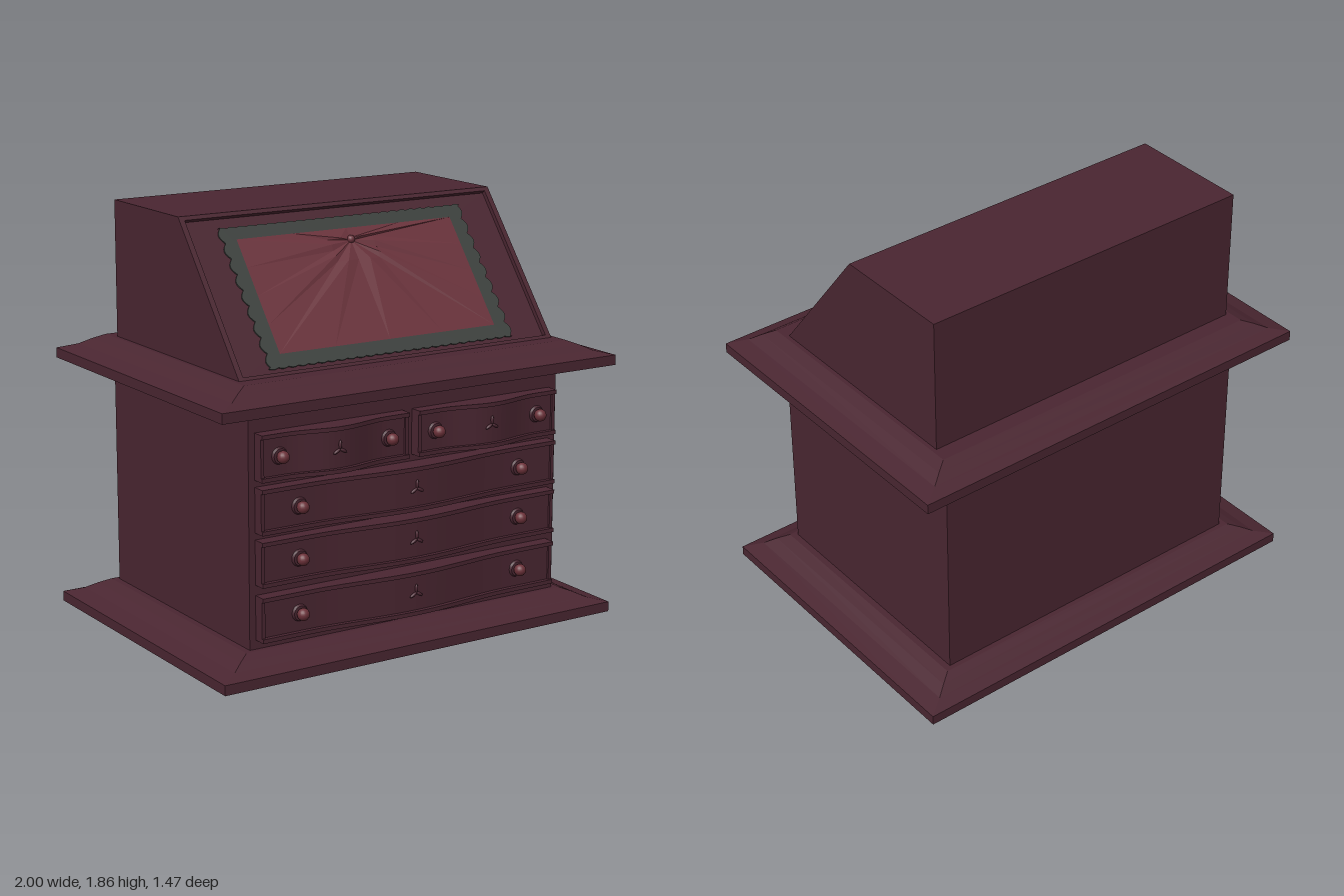
import * as THREE from 'three';

const mat = (name, color) => {
  const m = new THREE.MeshStandardMaterial({ color });
  m.name = name;
  return m;
};

function add(parent, name, geometry, material, x = 0, y = 0, z = 0) {
  const mesh = new THREE.Mesh(geometry, material);
  mesh.name = name;
  mesh.position.set(x, y, z);
  parent.add(mesh);
  return mesh;
}

// Rectangular moulded slab: a four-sided lathe with mitred corners
function slabGeometry() {
  const profile = [[0, 0], [1, 0], [1, 0.045], [0.92, 0.065], [0.87, 0.09], [0.82, 0.11], [0, 0.11]];
  const points = profile.map(([r, y]) => new THREE.Vector2(r * Math.SQRT2, y));
  const geo = new THREE.LatheGeometry(points, 4, Math.PI / 4).toNonIndexed();
  geo.scale(1, 1, 0.735);
  geo.computeVertexNormals();
  return geo;
}

// Side profile given as [z, y], extruded across x from x0 to x1
function sideExtrude(profile, x0, x1) {
  const shape = new THREE.Shape(profile.map(([z, y]) => new THREE.Vector2(z, y)));
  const geo = new THREE.ExtrudeGeometry(shape, { depth: x1 - x0, bevelEnabled: false });
  geo.rotateY(-Math.PI / 2);
  geo.translate(x1, 0, 0);
  return geo;
}

// Depth of a drawer front: low at the ends, bulging in the middle
function frontZ(t) {
  const a = Math.min(Math.abs(t) / 0.7, 1);
  return 0.62 + 0.04 * (0.5 + 0.5 * Math.cos(Math.PI * a));
}

// Bow-fronted plank of width w and height h, standing on y = 0
function bowGeometry(w, h, proud) {
  const points = [new THREE.Vector2(-w / 2, -0.57)];
  const steps = 28;
  for (let i = 0; i <= steps; i++) {
    const t = (2 * i) / steps - 1;
    points.push(new THREE.Vector2((t * w) / 2, -frontZ(t) - proud));
  }
  points.push(new THREE.Vector2(w / 2, -0.57));
  const geo = new THREE.ExtrudeGeometry(new THREE.Shape(points), { depth: h, bevelEnabled: false });
  geo.rotateX(-Math.PI / 2);
  return geo;
}

function makeDrawer(x, y, w, h, knobX, wood, knobMat) {
  const drawer = new THREE.Group();
  drawer.name = 'drawer';
  drawer.position.set(x, y, 0);
  add(drawer, 'drawerFront', bowGeometry(w, h, 0), wood);
  for (const ly of [0, h - 0.018]) add(drawer, 'drawerLip', bowGeometry(w, 0.018, 0.02), wood, 0, ly, 0);
  for (const s of [-1, 1]) {
    add(drawer, 'drawerEndLip', new THREE.BoxGeometry(0.016, h, 0.012), wood, s * (w / 2 - 0.008), h / 2, 0.624);
    const plate = add(drawer, 'knobPlate', new THREE.CylinderGeometry(0.032, 0.038, 0.012, 20), wood, s * knobX, h / 2, 0.625);
    plate.rotation.x = Math.PI / 2;
    add(drawer, 'knob', new THREE.SphereGeometry(0.027, 18, 12), knobMat, s * knobX, h / 2, 0.65);
  }
  // Small three-petalled keyhole ornament
  for (let i = 0; i < 3; i++) {
    const a = Math.PI / 2 + (i * Math.PI * 2) / 3;
    const petal = add(drawer, 'keyholePetal', new THREE.SphereGeometry(0.02, 10, 8), wood,
      Math.cos(a) * 0.018, h / 2 + Math.sin(a) * 0.018, 0.662);
    petal.scale.set(1, 0.35, 0.4);
    petal.rotation.z = a;
  }
  return drawer;
}

// Cloth border with scalloped ends and finely notched long edges
function laceGeometry(x0, x1, y0, y1) {
  const pts = [];
  const edge = (ax, ay, bx, by, lobes, depth) => {
    const len = Math.hypot(bx - ax, by - ay);
    const nx = (by - ay) / len, ny = -(bx - ax) / len;
    for (let i = 0; i < lobes * 6; i++) {
      const t = i / (lobes * 6);
      const d = depth * (Math.abs(Math.sin(t * lobes * Math.PI)) - 1);
      pts.push(new THREE.Vector2(ax + (bx - ax) * t + nx * d, ay + (by - ay) * t + ny * d));
    }
  };
  edge(x0, y0, x1, y0, 26, 0.006);
  edge(x1, y0, x1, y1, 9, 0.02);
  edge(x1, y1, x0, y1, 26, 0.006);
  edge(x0, y1, x0, y0, 9, 0.02);
  return new THREE.ExtrudeGeometry(new THREE.Shape(pts), { depth: 0.006, bevelEnabled: false });
}

// Cloth panel gathered into pleats around the point (cx, cy)
function clothGeometry(x0, x1, y0, y1, cx, cy) {
  const corners = [[x0, y0], [x1, y0], [x1, y1], [x0, y1]];
  const pos = [], index = [];
  const n = 16;
  for (let i = 0; i < n; i++) {
    const [ax, ay] = corners[Math.floor(i / 4)];
    const [bx, by] = corners[(Math.floor(i / 4) + 1) % 4];
    const t = (i % 4) / 4;
    const px = ax + (bx - ax) * t, py = ay + (by - ay) * t;
    pos.push(px, py, 0);
    pos.push(cx + (px - cx) * 0.2, cy + (py - cy) * 0.2, i % 2 ? 0.01 : 0.002);
    const j = (i + 1) % n;
    index.push(2 * i, 2 * j, 2 * j + 1, 2 * i, 2 * j + 1, 2 * i + 1, 2 * i + 1, 2 * j + 1, 2 * n);
  }
  pos.push(cx, cy, 0.001);
  const geo = new THREE.BufferGeometry();
  geo.setAttribute('position', new THREE.Float32BufferAttribute(pos, 3));
  geo.setIndex(index);
  const flat = geo.toNonIndexed();
  flat.computeVertexNormals();
  return flat;
}

export function createModel() {
  const model = new THREE.Group();
  model.name = 'writingDesk';
  const wood = mat('darkMahogany', 0x4a2631);
  const knobMat = mat('redKnob', 0x6a3038);
  const cloth = mat('redCloth', 0x6a333c);
  const lace = mat('greyGreenBorder', 0x3d413e);

  // Carcass and mouldings
  add(model, 'plinth', slabGeometry(), wood);
  add(model, 'cornice', slabGeometry(), wood, 0, 1.14, 0);
  add(model, 'body', new THREE.BoxGeometry(1.58, 1.03, 1.16), wood, 0, 0.625, 0);

  // Drawers: two short above three long
  for (const x of [-0.395, 0.385]) model.add(makeDrawer(x, 0.84, 0.73, 0.2, 0.27, wood, knobMat));
  for (const y of [0.615, 0.39, 0.15]) model.add(makeDrawer(-0.005, y, 1.51, 0.195, 0.565, wood, knobMat));

  // Sloping upper case, with the lid panel sunk between its sides
  const bottom = [0.53, 1.25], top = [0.04, 1.86];
  const angle = Math.atan2(bottom[0] - top[0], top[1] - bottom[1]);
  const onSlope = (t, depth) => [
    bottom[0] + (top[0] - bottom[0]) * t - depth * Math.cos(angle),
    bottom[1] + (top[1] - bottom[1]) * t - depth * Math.sin(angle),
  ];
  const back = [[-0.53, 1.86], [-0.53, 1.25]];
  const sunk = 0.02;
  const centre = [bottom, onSlope(0.02, 0), onSlope(0.02, sunk), onSlope(0.975, sunk), onSlope(0.975, 0), top, ...back];
  add(model, 'upperCase', sideExtrude(centre, -0.775, 0.775), wood);
  add(model, 'upperSide', sideExtrude([bottom, top, ...back], 0.775, 0.8), wood);
  add(model, 'upperSide', sideExtrude([bottom, top, ...back], -0.8, -0.775), wood);

  // Cloth panel on the sloping lid
  const lid = new THREE.Group();
  lid.name = 'lidPanel';
  lid.position.set(0, 1.555, 0.285);
  lid.rotation.x = -angle;
  model.add(lid);
  add(lid, 'clothBorder', laceGeometry(-0.635, 0.62, -0.353, 0.327), lace, 0, 0, -sunk);
  add(lid, 'clothPanel', clothGeometry(-0.56, 0.54, -0.288, 0.263, -0.01, 0.2), cloth, 0, 0, -0.011);
  add(lid, 'clothButton', new THREE.SphereGeometry(0.018, 14, 10), cloth, -0.01, 0.205, -0.008);

  return model;
}
